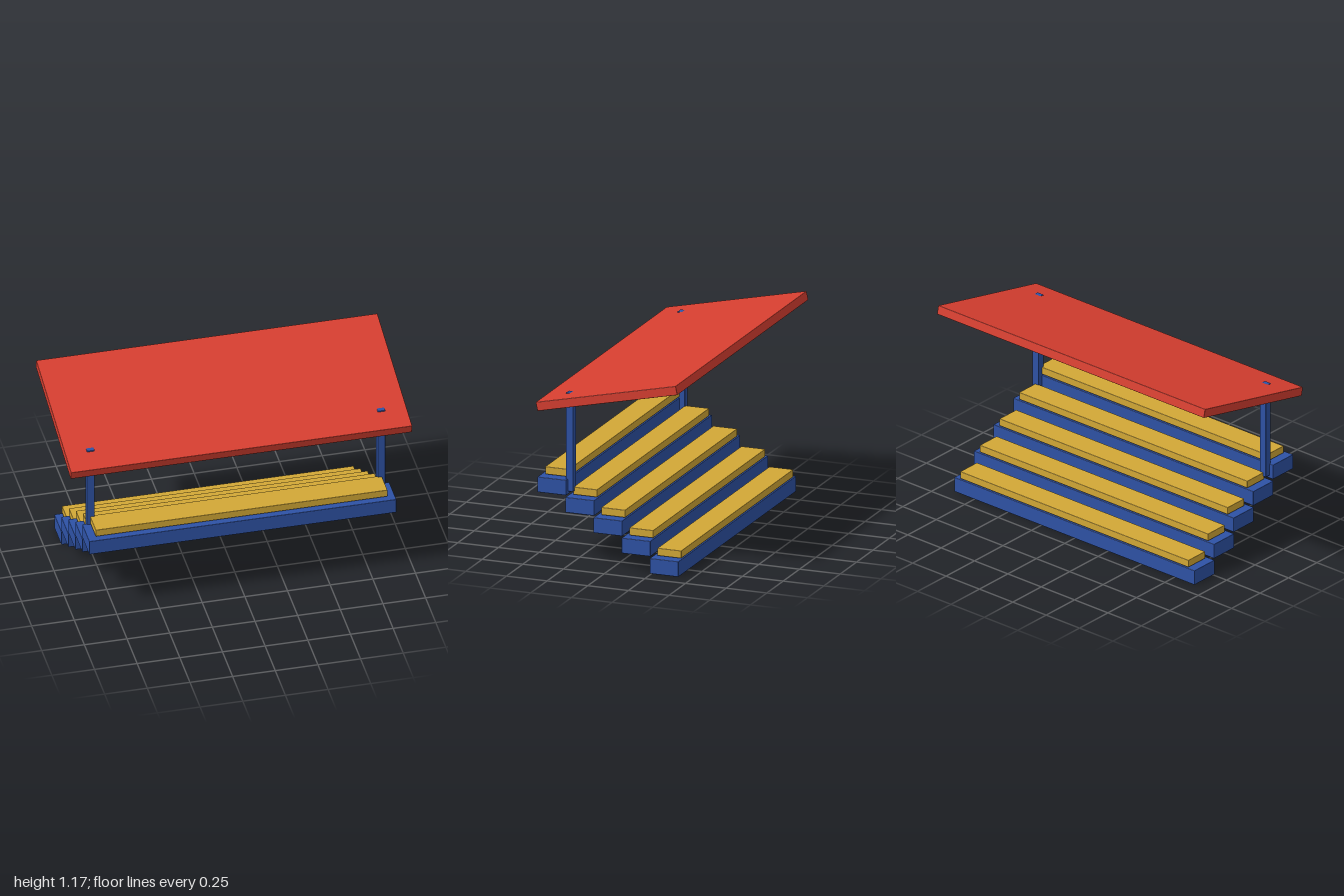
import * as THREE from 'three';
import { RoundedBoxGeometry } from 'three/addons/geometries/RoundedBoxGeometry.js';

const material = (name, color) => {
  const m = new THREE.MeshStandardMaterial({ color });
  m.name = name;
  return m;
};

export function createModel() {
  const red = material('roofRed', 0xd63e30);
  const blue = material('frameBlue', 0x2e52a5);
  const yellow = material('seatYellow', 0xd2a836);

  const model = new THREE.Group();
  model.name = 'coveredBleachers';

  // Box with a fine softened edge, placed by its centre
  const block = (name, mat, size, position) => {
    const mesh = new THREE.Mesh(new RoundedBoxGeometry(...size, 1, 0.003), mat);
    mesh.name = name;
    mesh.position.set(...position);
    model.add(mesh);
    return mesh;
  };

  // Five tiers rising toward the front, each with a bench plank
  const rows = 5, rise = 0.1018, run = 0.1725;
  for (let i = 0; i < rows; i++) {
    block(`step${i + 1}`, blue, [1.8, 0.091, 0.177], [0, 0.0455 + i * rise, -0.3275 + i * run]);
    block(`bench${i + 1}`, yellow, [1.71, 0.045, 0.147], [0, 0.1205 + i * rise, -0.3425 + i * run]);
  }

  // Two posts whose tips just pierce the roof
  for (const side of [-1, 1]) {
    block(side > 0 ? 'leftPost' : 'rightPost', blue, [0.045, 0.587, 0.045], [side * 0.852, 0.7185, 0.2635]);
  }

  // Sloping roof, low at the front
  const roof = block('roof', red, [2, 0.053, 0.882], [0, 1.046, -0.0145]);
  roof.rotation.x = 0.221;

  return model;
}
